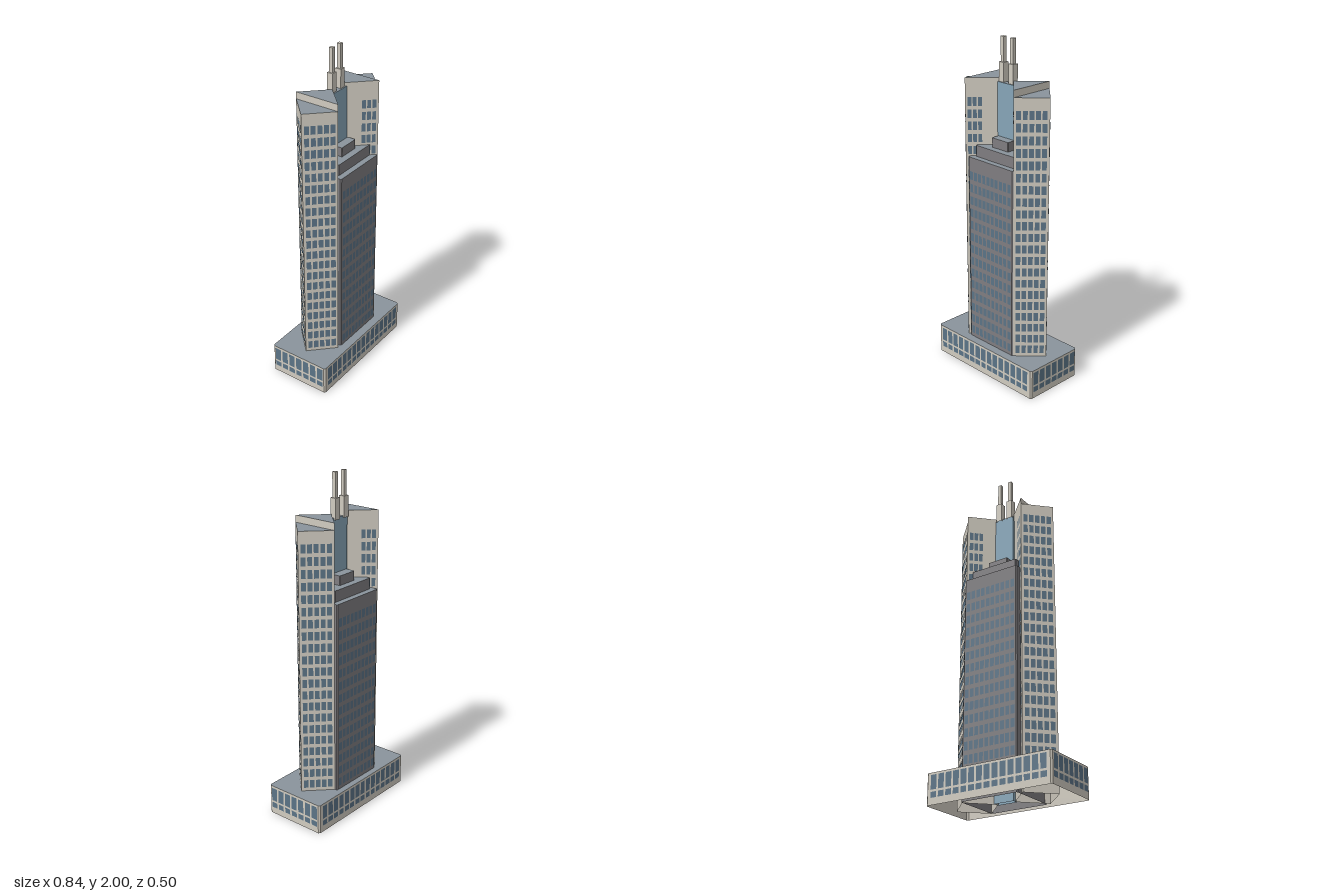
import * as THREE from 'three';

const mat = (color) => new THREE.MeshStandardMaterial({ color, side: THREE.DoubleSide, flatShading: true });

export function createModel() {
  const stone = mat(0xd0cbc0), slabGrey = mat(0x7f7d80), glass = mat(0x86a5b8);
  const roof = mat(0x8a949c), pane = mat(0x5b7386);

  const mesh = (name, positions, material) => {
    const g = new THREE.BufferGeometry();
    g.setAttribute('position', new THREE.Float32BufferAttribute(positions, 3));
    g.computeVertexNormals();
    const m = new THREE.Mesh(g, material);
    m.name = name;
    return m;
  };
  const quad = (out, a, b, y0, y1) => out.push(
    a[0], y0, a[1], b[0], y0, b[1], b[0], y1, b[1],
    a[0], y0, a[1], b[0], y1, b[1], a[0], y1, a[1]);

  // Upright prism on a convex plan (front left, front right, back right, back left), open below
  const prism = (parent, name, plan, y0, y1, wallMat, topMat) => {
    const walls = [], top = [];
    plan.forEach((p, i) => quad(walls, p, plan[(i + 1) % plan.length], y0, y1));
    for (let i = 1; i < plan.length - 1; i++)
      for (const p of [plan[0], plan[i], plan[i + 1]]) top.push(p[0], y1, p[1]);
    parent.add(mesh(name + 'Walls', walls, wallMat), mesh(name + 'Roof', top, topMat));
  };

  const rect = (cx, cz, hx, hz) =>
    [[cx - hx, cz + hz], [cx + hx, cz + hz], [cx + hx, cz - hz], [cx - hx, cz - hz]];

  // Rectangle plan with small cut corners
  const cutRect = (cx, cz, hx, hz, c) => [
    [cx - hx + c, cz + hz], [cx + hx - c, cz + hz], [cx + hx, cz + hz - c], [cx + hx, cz - hz + c],
    [cx + hx - c, cz - hz], [cx - hx + c, cz - hz], [cx - hx, cz - hz + c], [cx - hx, cz + hz - c]];

  // Grid of panes just proud of the wall from a to b, between fractions t0 and t1
  const panes = (out, a, b, t0, t1, cols, y0, y1, rows, fillX = 0.74, fillY = 0.7) => {
    const dx = b[0] - a[0], dz = b[1] - a[1], len = Math.hypot(dx, dz), e = 0.0015;
    const at = (t) => [a[0] + dx * t - (dz / len) * e, a[1] + dz * t + (dx / len) * e];
    const w = (t1 - t0) / cols, h = (y1 - y0) / rows;
    for (let c = 0; c < cols; c++) {
      const s = t0 + w * (c + (1 - fillX) / 2);
      for (let r = 0; r < rows; r++) {
        const y = y0 + h * (r + (1 - fillY) / 2);
        quad(out, at(s), at(s + w * fillX), y, y + h * fillY);
      }
    }
  };

  const group = new THREE.Group();
  group.name = 'skyscraper';
  const building = new THREE.Group();
  building.name = 'building';
  building.rotation.y = 0.154;
  group.add(building);

  // Podium with a tall and a short row of windows on each side
  prism(building, 'podium', cutRect(0, 0, 0.395, 0.191, 0.009), 0, 0.18, stone, roof);
  const podiumPanes = [];
  rect(0, 0, 0.395, 0.191).forEach((a, i, plan) => {
    const b = plan[(i + 1) % 4], cols = i % 2 ? 7 : 15;
    panes(podiumPanes, a, b, 0.03, 0.97, cols, 0.085, 0.167, 1, 0.76, 1);
    panes(podiumPanes, a, b, 0.03, 0.97, cols, 0.04, 0.073, 1, 0.76, 1);
  });
  building.add(mesh('podiumWindows', podiumPanes, pane));

  // Twin diamond towers, each with an outer half roof a step below the inner half
  for (const side of [1, -1]) {
    const tower = new THREE.Group();
    tower.name = side > 0 ? 'leftTower' : 'rightTower';
    tower.position.x = 0.003 + side * 0.19;
    tower.rotation.y = side > 0 ? 0 : Math.PI;
    building.add(tower);
    const r = 0.137;
    const inner = [-r, 0], front = [0, r], outer = [r, 0], back = [0, -r];
    prism(tower, 'shaft', [inner, front, outer, back], 0, 1.73, stone, roof);
    prism(tower, 'upperHalf', [inner, front, back], 1.73, 1.77, stone, roof);
    const list = [];
    panes(list, front, outer, 0.05, 0.95, 5, 0.19, 1.67, 21);
    panes(list, outer, back, 0.05, 0.95, 5, 0.19, 1.67, 21);
    panes(list, inner, front, 0.5, 0.95, 3, 0.19, 1.67, 21);
    panes(list, back, inner, 0.05, 0.5, 3, 0.19, 1.67, 21);
    tower.add(mesh('towerWindows', list, pane));
  }

  // Stepped slab between the towers
  const cx = 0.0135, cz = -0.007;
  prism(building, 'slab', cutRect(cx, cz, 0.178, 0.147, 0.006), 0, 1.32, slabGrey, roof);
  prism(building, 'slabStep', cutRect(cx, cz, 0.152, 0.112, 0.004), 1.32, 1.385, slabGrey, roof);
  prism(building, 'slabCap', cutRect(cx, cz, 0.064, 0.071, 0.003), 1.385, 1.44, slabGrey, roof);
  const slabPanes = [];
  const s = rect(cx, cz, 0.178, 0.147);
  panes(slabPanes, s[0], s[1], 0.03, 0.97, 10, 0.19, 1.25, 14, 0.72, 0.66);
  panes(slabPanes, s[2], s[3], 0.03, 0.97, 10, 0.19, 1.25, 14, 0.72, 0.66);
  building.add(mesh('slabWindows', slabPanes, pane));

  // Glass core
  prism(building, 'glassCore', rect(0.006, -0.004, 0.062, 0.017), 0, 1.75, glass, roof);

  // Two stepped masts
  for (const x of [-0.035, 0.038]) {
    prism(building, 'mastBase', rect(x, -0.013, 0.018, 0.018), 1.74, 1.86, stone, stone);
    prism(building, 'mast', rect(x, -0.013, 0.011, 0.011), 1.86, 2, stone, stone);
  }
  return group;
}
